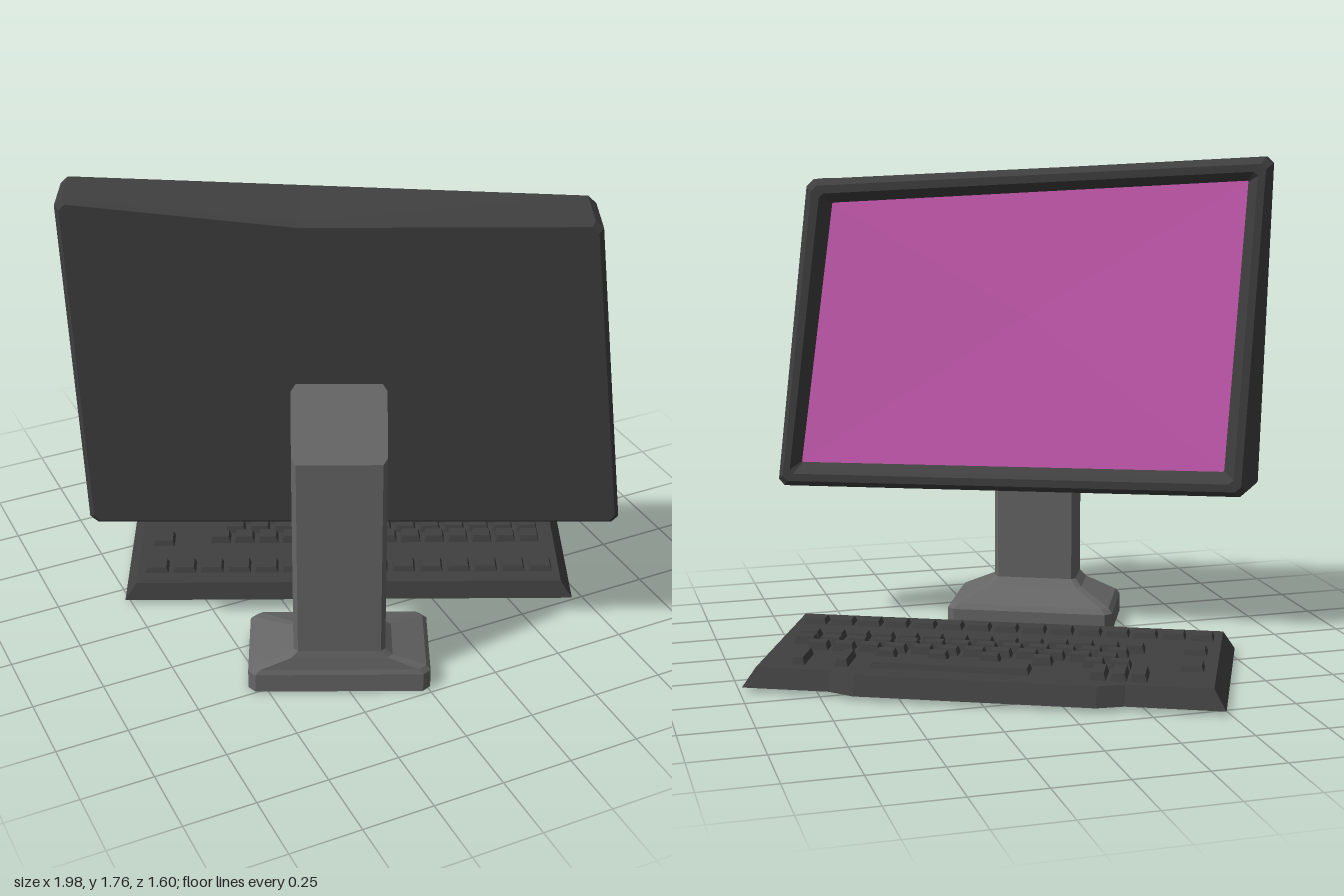
import * as THREE from 'three';

const charcoal = new THREE.MeshStandardMaterial({ color: 0x404040 });
const standGrey = new THREE.MeshStandardMaterial({ color: 0x666666, side: THREE.DoubleSide });
const screenPink = new THREE.MeshStandardMaterial({ color: 0xd862c0 });
charcoal.name = 'charcoal';
standGrey.name = 'standGrey';
screenPink.name = 'screenPink';

// Joins rings of [x, y, z] points into a flat shaded skin, with optional end caps.
function loft(rings, capStart, capEnd) {
  const pos = [];
  const tri = (a, b, c) => pos.push(...a, ...b, ...c);
  const n = rings[0].length;
  for (let r = 0; r < rings.length - 1; r++) {
    for (let i = 0; i < n; i++) {
      const j = (i + 1) % n, a = rings[r], b = rings[r + 1];
      tri(a[i], a[j], b[j]);
      tri(a[i], b[j], b[i]);
    }
  }
  const cap = (ring, flip) => {
    const mid = [0, 1, 2].map(k => ring.reduce((s, p) => s + p[k], 0) / n);
    ring.forEach((p, i) => {
      const q = ring[(i + 1) % n];
      flip ? tri(mid, q, p) : tri(mid, p, q);
    });
  };
  if (capStart) cap(rings[0], true);
  if (capEnd) cap(rings[rings.length - 1], false);
  const g = new THREE.BufferGeometry();
  g.setAttribute('position', new THREE.Float32BufferAttribute(pos, 3));
  g.computeVertexNormals();
  return g;
}

function mesh(name, geometry, material) {
  const m = new THREE.Mesh(geometry, material);
  m.name = name;
  return m;
}

// Horizontal rectangle with cut corners.
function rectRing(y, x0, x1, z0, z1, cut) {
  return [
    [x1 - cut, y, z1], [x1, y, z1 - cut], [x1, y, z0 + cut], [x1 - cut, y, z0],
    [x0 + cut, y, z0], [x0, y, z0 + cut], [x0, y, z1 - cut], [x0 + cut, y, z1],
  ];
}

// Upright outline from bottom left, bottom right, top right, top left corners,
// with cut corners and one extra point along the top edge.
function panelRing(corners, inset, dz, cut, sag) {
  const signs = [[1, 1], [-1, 1], [-1, -1], [1, -1]];
  const c = corners.map((p, i) => new THREE.Vector3(
    p[0] + signs[i][0] * inset, p[1] + signs[i][1] * inset, p[2] + dz));
  const ring = [];
  c.forEach((p, i) => {
    for (const q of [c[(i + 3) % 4], c[(i + 1) % 4]]) {
      ring.push(p.clone().addScaledVector(q.clone().sub(p).normalize(), cut).toArray());
    }
    if (i === 2) {
      const bend = p.clone().lerp(c[3], 0.56);
      bend.y -= sag;
      ring.push(bend.toArray());
    }
  });
  return ring;
}

function buildMonitor() {
  const g = new THREE.Group();
  g.name = 'monitor';
  const front = [[-0.8, 0.54, 0.285], [0.945, 0.53, 0.28], [0.81, 1.67, 0.275], [-0.865, 1.76, 0.31]];
  const back = [[-0.834, 0.545, 0.46], [0.945, 0.53, 0.455], [0.812, 1.665, 0.49], [-0.867, 1.757, 0.507]];
  const screenEdge = panelRing(front, 0.085, 0.055, 0.004, 0);
  const casing = loft([
    screenEdge,
    panelRing(front, 0.065, 0.02, 0.01, 0),
    panelRing(front, 0.05, 0, 0.015, 0),
    panelRing(front, 0.022, 0, 0.02, 0),
    panelRing(front, 0, 0.025, 0.025, 0),
    panelRing(back, 0, -0.015, 0.025, 0.045),
    panelRing(back, 0.015, 0, 0.02, 0.045),
  ], false, true);
  g.add(mesh('casing', casing, charcoal));
  g.add(mesh('screen', loft([screenEdge], true, false), screenPink));
  return g;
}

function buildStand() {
  // Hollow foot flaring up into a column with a sloped top
  const rings = [
    rectRing(0, -0.31, 0.31, 0.33, 0.675, 0.025),
    rectRing(0.07, -0.31, 0.31, 0.33, 0.675, 0.025),
    rectRing(0.088, -0.295, 0.295, 0.345, 0.67, 0.025),
    rectRing(0.135, -0.18, 0.18, 0.46, 0.664, 0.018),
    rectRing(0.16, -0.155, 0.155, 0.49, 0.66, 0.015),
    rectRing(0.9, -0.155, 0.155, 0.49, 0.66, 0.015),
  ];
  const top = rings[5];
  top.forEach(p => { p[1] = 0.9 + (0.66 - p[2]) * 1.18; });
  return mesh('stand', loft(rings, false, true), standGrey);
}

function buildKeyboard() {
  const g = new THREE.Group();
  g.name = 'keyboard';

  // Wedge sided body with a bulge along the typing edge
  const outline = (y, d) => [
    [0.85 - d * 1.4, y, 0.17 - d * 0.5], [0.85 - d * 1.4, y, -0.527 + d],
    [0.55, y, -0.527 + d], [0.46, y, -0.562 + d], [-0.35, y, -0.562 + d], [-0.44, y, -0.53 + d],
    [-0.772 + d * 1.4, y, -0.53 + d], [-0.772 + d * 1.4, y, 0.17 - d * 0.5],
  ];
  g.add(mesh('keyboardBody', loft([outline(0.015, 0), outline(0.08, 0.03)], true, true), charcoal));

  // Tapered keycap
  const key = (name, x, z, w, d, top = 0.105) => {
    const t = 0.009;
    g.add(mesh(name, loft([
      rectRing(0.075, x - w / 2, x + w / 2, z - d / 2, z + d / 2, 0.001),
      rectRing(top, x - w / 2 + t, x + w / 2 - t, z - d / 2 + t, z + d / 2 - t, 0.001),
    ], false, true), charcoal));
  };
  const row = (name, x0, x1, z, n, depth, top) => {
    const pitch = (x1 - x0) / n;
    for (let i = 0; i < n; i++) key(name, x0 + pitch * (i + 0.5), z, pitch * 0.88, depth, top);
  };

  row('functionKey', -0.71, 0.79, 0.058, 15, 0.075, 0.1);
  row('letterKey', -0.48, 0.76, -0.125, 14, 0.065, 0.105);
  row('letterKey', -0.43, 0.76, -0.19, 13, 0.06, 0.105);
  row('letterKey', -0.4, 0.7, -0.252, 12, 0.06, 0.105);
  row('letterKey', -0.45, -0.27, -0.315, 2, 0.06, 0.105);
  for (const x of [-0.14, 0.04, 0.22, 0.4]) key('letterKey', x, -0.312, 0.075, 0.06);

  row('arrowKey', -0.515, -0.31, -0.415, 3, 0.115, 0.105);
  key('spaceBar', 0.157, -0.413, 0.545, 0.085, 0.1);
  for (const x of [0.525, 0.675]) key('sideKey', x, -0.39, 0.05, 0.13);
  for (const z of [-0.297, -0.115]) key('cornerKey', -0.647, z, 0.085, 0.08, 0.1);
  return g;
}

export function createModel() {
  const model = new THREE.Group();
  model.name = 'desktopComputer';
  const set = new THREE.Group();
  set.name = 'turnedSet';
  set.add(buildMonitor(), buildStand(), buildKeyboard());
  set.rotation.y = -0.429;
  model.add(set);
  return model;
}
